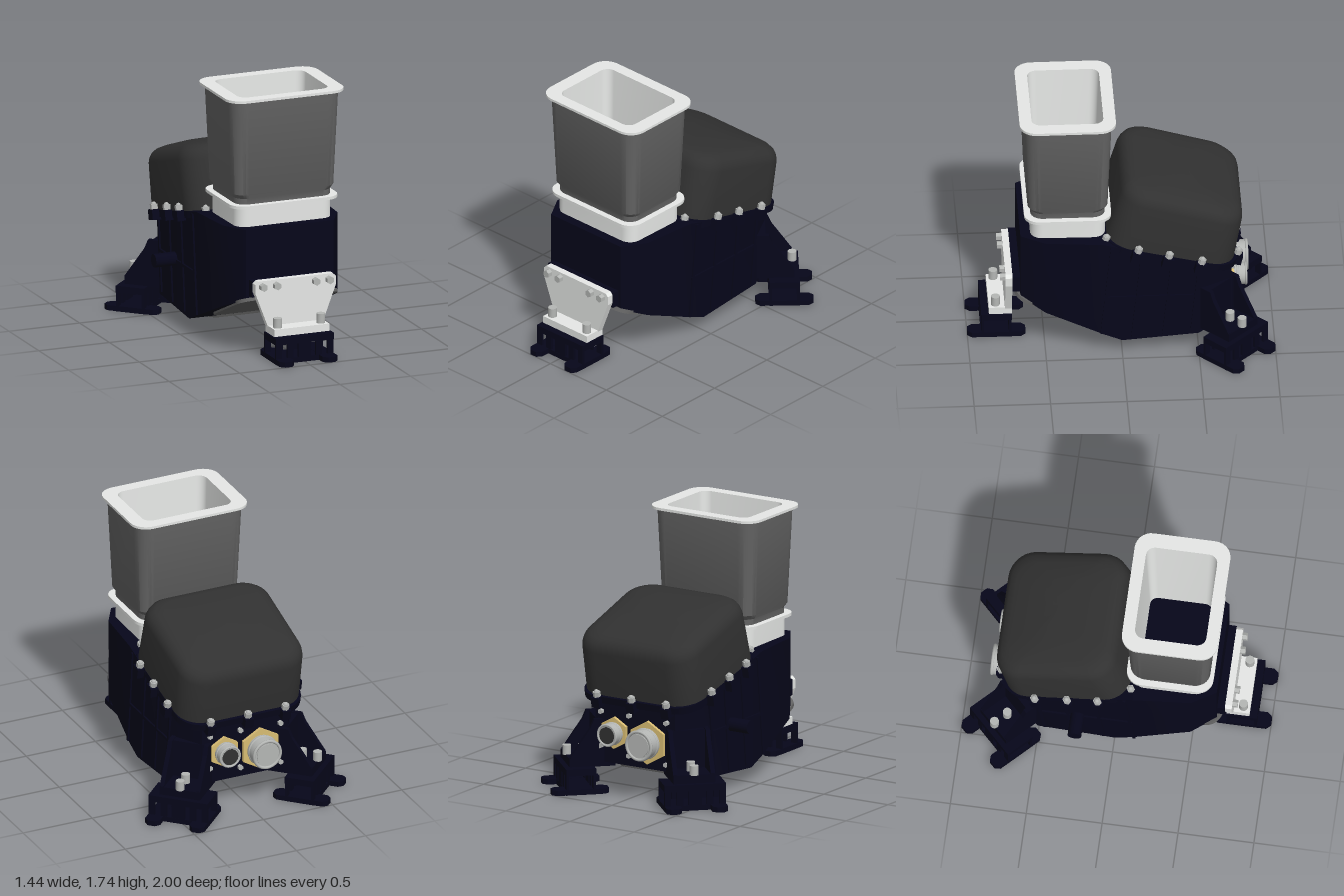
import * as THREE from 'three';
import { toCreasedNormals } from 'three/addons/utils/BufferGeometryUtils.js';

const mat = (name, color, side = THREE.FrontSide) => {
  const m = new THREE.MeshStandardMaterial({ color, side });
  m.name = name;
  return m;
};

// Skin a list of closed point rings, with both ends capped if wanted
function skin(rings, caps = true) {
  const pos = [], idx = [], n = rings[0].length;
  rings.forEach(r => r.forEach(p => pos.push(...p)));
  for (let k = 0; k < rings.length - 1; k++) {
    for (let i = 0; i < n; i++) {
      const a = k * n + i, b = k * n + (i + 1) % n;
      idx.push(a, a + n, b, b, a + n, b + n);
    }
  }
  const last = (rings.length - 1) * n;
  if (caps) for (let i = 1; i < n - 1; i++) idx.push(0, i, i + 1, last, last + i + 1, last + i);
  const g = new THREE.BufferGeometry();
  g.setAttribute('position', new THREE.Float32BufferAttribute(pos, 3));
  g.setIndex(idx);
  return toCreasedNormals(g, 0.6);
}

// Rounded rectangle ring: half width, half depth, corner radius, height
function ring([w, d, r, y]) {
  const pts = [], steps = 7;
  for (let q = 0; q < 4; q++) {
    const sx = q === 0 || q === 3 ? 1 : -1, sz = q < 2 ? 1 : -1;
    for (let i = 0; i <= steps; i++) {
      const a = (q + i / steps) * Math.PI / 2;
      pts.push([sx * (w - r) + r * Math.cos(a), y, sz * (d - r) + r * Math.sin(a)]);
    }
  }
  return pts;
}
const loft = (profile, caps) => skin(profile.map(ring), caps);

// Flat plate cut from a list of corners
const slab = (points, depth) => new THREE.ExtrudeGeometry(
  new THREE.Shape(points.map(p => new THREE.Vector2(...p))), { depth, bevelEnabled: false });

export function createModel() {
  const navy = mat('navy housing', 0x06061a);
  const light = mat('light grey', 0xe8eae8, THREE.DoubleSide);
  const grey = mat('hopper grey', 0x636363);
  const dark = mat('dark cover', 0x313131);
  const steel = mat('steel', 0xb4b6b4);
  const gold = mat('gold', 0xd8bc72);

  const root = new THREE.Group();
  const add = (parent, name, geo, m, x = 0, y = 0, z = 0, rx = 0, rz = 0) => {
    const o = new THREE.Mesh(geo, m);
    o.name = name;
    o.position.set(x, y, z);
    o.rotation.set(rx, 0, rz);
    parent.add(o);
    return o;
  };
  const box = (w, h, d) => new THREE.BoxGeometry(w, h, d);
  const cyl = (r, h, n = 24) => toCreasedNormals(new THREE.CylinderGeometry(r, r, h, n), 0.6);
  const group = name => {
    const g = new THREE.Group();
    g.name = name;
    root.add(g);
    return g;
  };
  const HALF = Math.PI / 2;

  // Housing from sections along z: [z, half width, top, bottom]
  const sections = [
    [0.66, 0.31, 0.86, 0.385], [0.5, 0.405, 0.86, 0.315], [0.12, 0.435, 0.855, 0.15],
    [0, 0.435, 0.82, 0.1], [-0.5, 0.435, 0.7, 0.14], [-0.72, 0.31, 0.645, 0.2]
  ];
  add(root, 'housing', skin(sections.map(([z, w, t, b]) =>
    [[w, t, z], [-w, t, z], [-w, b, z], [w, b, z]])), navy);
  add(root, 'frontLedge', box(0.58, 0.11, 0.06), navy, 0, 0.467, 0.68);

  // Side ribs
  for (const s of [-1, 1]) {
    [[0.1, 0.16, 0.83], [-0.1, 0.13, 0.79], [-0.3, 0.14, 0.74], [-0.48, 0.16, 0.69]].forEach(([z, b, t]) =>
      add(root, 'sideRib', box(0.025, t - b, 0.02), navy, s * 0.434, (t + b) / 2, z, -0.1));
    add(root, 'longRib', box(0.025, 0.02, 0.6), navy, s * 0.434, 0.44, -0.18);
  }
  add(root, 'sideStub', cyl(0.045, 0.16), navy, -0.505, 0.445, -0.24, 0, HALF);

  // Grey plates under the housing
  add(root, 'frontSlopePlate', loft([[0.355, 0.3, 0.1, -0.004], [0.355, 0.3, 0.1, 0.02]]),
    grey, 0, 0.27, 0.42, -0.413);
  add(root, 'bottomPlate', loft([[0.3, 0.245, 0.09, -0.018], [0.31, 0.255, 0.09, 0.015]]),
    grey, 0, 0.118, -0.255, 0.08);

  // Tilted cover with its bolted rim; its top falls away toward the rear
  const lid = group('tiltedCover');
  lid.position.set(0, 0.75, -0.32);
  lid.rotation.x = -0.239;
  add(lid, 'rim', loft([[0.445, 0.45, 0.16, -0.045], [0.445, 0.45, 0.16, 0.002]]), navy);
  add(lid, 'cover', skin([
    [0.443, 0.43, 0.17, 0], [0.443, 0.412, 0.17, 0.335], [0.437, 0.406, 0.17, 0.368],
    [0.42, 0.392, 0.16, 0.4], [0.39, 0.367, 0.15, 0.424], [0.34, 0.325, 0.13, 0.437],
    [0.22, 0.18, 0.1, 0.447], [0.05, 0.05, 0.04, 0.449]
  ].map(p => ring(p).map(([x, y, z]) => [x, y * (1 - 0.3 * Math.max(0, -z - 0.03)), z]))), dark);
  const lidBolt = (x, z, y) => {
    add(lid, 'lug', box(0.06, 0.07, 0.07), navy, x, y - 0.043, z);
    add(lid, 'lidBolt', cyl(0.026, 0.035, 6), steel, x, y + 0.009, z);
    add(lid, 'boltTip', new THREE.SphereGeometry(0.018, 10, 6), steel, x, y + 0.024, z);
  };
  for (const s of [-1, 1]) {
    [0.227, 0.02, -0.2].forEach(z => lidBolt(s * 0.465, z, 0.016));
    lidBolt(s * 0.36, 0.435, -0.004);
    lidBolt(s * 0.27, -0.455, 0.012);
  }
  lidBolt(0, -0.455, 0.012);

  // Collar and hopper, hollow right through
  const hopper = group('hopper');
  hopper.position.z = 0.35;
  add(hopper, 'collar', loft([
    [0.34, 0.245, 0.08, 0.85], [0.34, 0.245, 0.08, 0.992], [0.38, 0.285, 0.1, 0.992],
    [0.38, 0.285, 0.1, 1.012], [0.32, 0.23, 0.08, 1.012]], false), light);
  add(hopper, 'hopperShell', loft([
    [0.338, 0.243, 0.08, 1.01], [0.338, 0.243, 0.08, 1.05], [0.358, 0.262, 0.09, 1.08],
    [0.385, 0.288, 0.1, 1.722]], false), grey);
  add(hopper, 'hopperLipAndLiner', loft([
    [0.38, 0.28, 0.1, 1.72], [0.415, 0.315, 0.11, 1.72], [0.415, 0.315, 0.11, 1.737],
    [0.318, 0.235, 0.06, 1.737], [0.29, 0.205, 0.05, 0.862]], false), light);

  // Foot: split sole, window posts and top plate
  const foot = name => {
    const g = group(name);
    add(g, 'sole', box(0.41, 0.035, 0.2), navy, 0, 0.0175, 0);
    for (const z of [-0.09, 0.09]) add(g, 'middlePost', box(0.09, 0.1, 0.018), navy, 0, 0.083, z);
    for (const s of [-1, 1]) {
      add(g, 'prong', slab([[-0.052, -0.16], [-0.025, -0.19], [0.025, -0.19], [0.052, -0.16],
        [0.052, 0.16], [0.025, 0.19], [-0.025, 0.19], [-0.052, 0.16]], 0.035),
        navy, s * 0.153, 0.036, 0, HALF);
      for (const z of [-0.09, 0.09]) {
        for (const x of [0.183, 0.1]) add(g, 'post', box(0.043, 0.1, 0.018), navy, s * x, 0.083, z);
      }
    }
    add(g, 'topPlate', box(0.41, 0.045, 0.2), navy, 0, 0.151, 0);
    return g;
  };

  // Front leg with a light bracket
  const front = foot('frontLeg');
  front.position.z = 0.81;
  add(front, 'bracketBase', box(0.39, 0.05, 0.15), light, 0, 0.198, -0.025);
  add(front, 'bracketPlate', slab([[-0.19, 0.2], [0.19, 0.2], [0.205, 0.24], [0.285, 0.45],
    [0.285, 0.51], [0.265, 0.53], [-0.265, 0.53], [-0.285, 0.51], [-0.285, 0.45], [-0.205, 0.24]], 0.045),
    light, 0, 0, -0.1);
  for (const s of [-1, 1]) {
    for (const x of [0.138, 0.235]) add(front, 'plateBolt', cyl(0.026, 0.035, 6), steel, s * x, 0.492, -0.038, HALF);
    add(front, 'baseBolt', cyl(0.029, 0.065, 16), steel, s * 0.153, 0.255, 0.005);
  }

  // Rear legs, turned 45 degrees, with navy gussets
  for (const s of [-1, 1]) {
    const leg = foot(s > 0 ? 'rearLegLeft' : 'rearLegRight');
    leg.position.set(s * 0.458, 0, -0.74);
    leg.rotation.y = s * Math.PI * 0.75;
    add(leg, 'gussetBase', box(0.28, 0.06, 0.2), navy, 0, 0.2, -0.035);
    for (const x of [-0.14, 0.11]) {
      const cheek = add(leg, 'gussetCheek', slab([[0.24, 0.17], [-0.06, 0.17], [-0.06, 0.235],
        [0.075, 0.43], [0.1, 0.49], [0.24, 0.49]], 0.03), navy, x);
      cheek.rotation.y = HALF;
    }
    add(leg, 'gussetBack', box(0.25, 0.3, 0.1), navy, 0, 0.335, -0.17);
    for (const z of [-0.05, 0.055]) add(leg, 'baseBolt', cyl(0.029, 0.065, 16), steel, 0, 0.26, z);
  }

  // Rear connectors: gold hexagon, barrel, rim and socket
  [[-0.105, 0.38, 0.106, 0.85, steel], [0.155, 0.41, 0.078, 0.832, dark]].forEach(([x, y, r, end, inner]) => {
    const g = group('rearConnector');
    g.position.set(x, y, 0);
    add(g, 'hexFlange', cyl(r * 1.38, 0.025, 6), gold, 0, 0, -0.73, HALF);
    add(g, 'barrel', cyl(r * 0.93, end - 0.74, 32), steel, 0, 0, -(end + 0.72) / 2, HALF);
    for (const z of [0.765, end - 0.011]) {
      add(g, 'barrelRing', new THREE.TorusGeometry(r * 0.89, r * 0.1, 10, 32), steel, 0, 0, -z);
    }
    add(g, 'socket', cyl(r * 0.72, 0.006, 32), inner, 0, 0, -end + 0.008, HALF);
  });
  [[-0.25, 0.53], [-0.25, 0.25], [0.04, 0.54], [0.04, 0.27], [0.26, 0.54], [0.26, 0.31]].forEach(([x, y]) =>
    add(root, 'panelBolt', cyl(0.018, 0.03, 6), steel, x, y, -0.73, HALF));

  return root;
}
